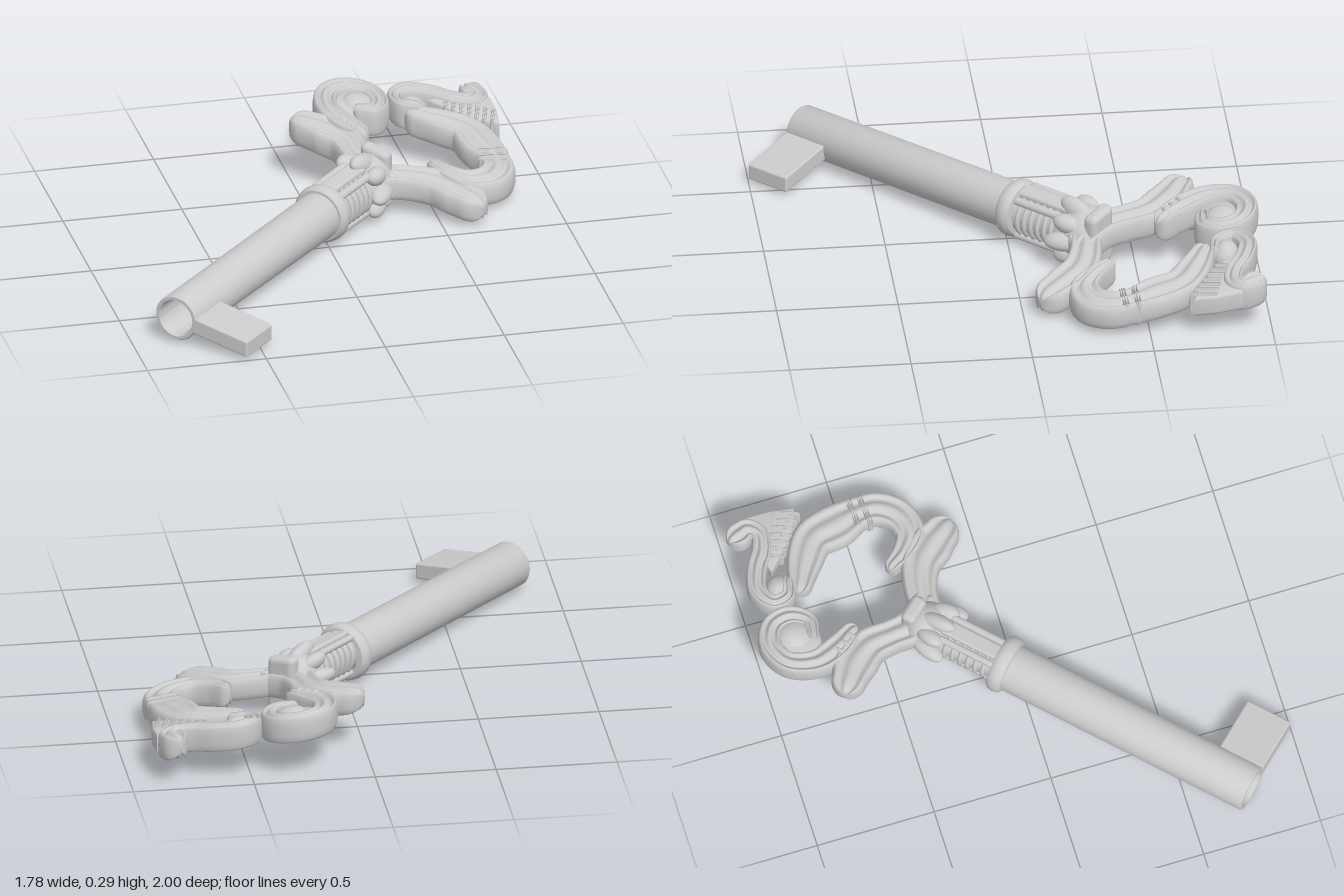
import * as THREE from 'three';
import { toCreasedNormals } from 'three/addons/utils/BufferGeometryUtils.js';
import { RoundedBoxGeometry } from 'three/addons/geometries/RoundedBoxGeometry.js';

const TILT = 0.022;               // rise along the key axis
const ROLL = -0.176;              // fall towards the bit side
const PIVOT = [-0.015, -0.05];    // collar position in plan (x, z)

// Leans a plan-space geometry along the key axis (tilt) and across it (roll).
function lean(geo, roll) {
  const a = (TILT + roll) * Math.SQRT1_2, b = (roll - TILT) * Math.SQRT1_2;
  const c = 0.135 - a * PIVOT[0] - b * PIVOT[1];
  return geo.applyMatrix4(new THREE.Matrix4().set(1, 0, 0, 0, a, 1, b, c, 0, 0, 1, 0, 0, 0, 0, 1));
}

// Key-axis space (x along the key, z towards the bit) to plan space.
const onAxis = (geo) => geo.rotateY(Math.PI / 4).translate(PIVOT[0], 0, PIVOT[1]);

// Half cross-section of the scrollwork: rounded rim, groove, raised middle.
const QUARTER = [[1, 0], [0.98, 0.45], [0.9, 0.78], [0.78, 0.92], [0.66, 0.88], [0.54, 0.7],
  [0.4, 0.66], [0.26, 0.8], [0.14, 0.92]];
const TOP = [...QUARTER, [0, 0.96], ...QUARTER.slice().reverse().map(([s, h]) => [-s, h])];
const SECTION = [...TOP, ...TOP.slice(1, -1).map(([s, h]) => [-s, -h])];

// Flat moulded band along [x, z, halfWidth] points given in hundredths, with round ends.
function band(points, height, steps = 64) {
  const curve = new THREE.CatmullRomCurve3(
    points.map(([x, z, w]) => new THREE.Vector3(x / 100, w / 100, z / 100)), false, 'centripetal');
  const stations = [], caps = 8;
  for (let i = caps; i > 0; i--) stations.push([0, -i / caps]);
  for (let i = 0; i <= steps; i++) stations.push([i / steps, 0]);
  for (let i = 1; i <= caps; i++) stations.push([1, i / caps]);
  const pos = [], index = [], n = SECTION.length;
  stations.forEach(([t, cap], i) => {
    const p = curve.getPoint(t), d = curve.getTangent(t).setY(0).normalize();
    const angle = cap * Math.PI / 2, w = p.y * Math.cos(angle), push = p.y * Math.sin(angle);
    const h = height * Math.sqrt(Math.max(0, Math.cos(angle)));
    SECTION.forEach(([s, k], j) => {
      pos.push(p.x + d.x * push + d.z * s * w, k * h, p.z + d.z * push - d.x * s * w);
      if (i === 0) return;
      const a = (i - 1) * n + j, b = (i - 1) * n + (j + 1) % n;
      index.push(a, b, a + n, b, b + n, a + n);
    });
  });
  const geo = new THREE.BufferGeometry();
  geo.setAttribute('position', new THREE.Float32BufferAttribute(pos, 3));
  geo.setIndex(index);
  geo.computeVertexNormals();
  return geo;
}

const ellipsoid = (rx, ry, rz) => new THREE.SphereGeometry(1, 28, 18).scale(rx, ry, rz);

export function createModel() {
  const key = new THREE.Group();
  key.name = 'key';
  const material = new THREE.MeshStandardMaterial({ color: 0xcccccc });
  const add = (name, geo, roll = ROLL) => {
    const mesh = new THREE.Mesh(lean(geo, roll), material);
    mesh.name = name;
    key.add(mesh);
  };
  const lathe = (profile) => toCreasedNormals(
    new THREE.LatheGeometry(profile.map(([r, u]) => new THREE.Vector2(r, u)), 56), 0.6).rotateZ(-Math.PI / 2);

  // Hollow barrel and collar
  add('barrel', onAxis(lathe([[0, -0.7], [0.075, -0.7], [0.075, -1.135], [0.08, -1.145],
    [0.093, -1.145], [0.097, -1.138], [0.1, 0.02]])), 0);
  add('collar', onAxis(lathe([[0.095, -0.035], [0.11, -0.034], [0.12, -0.022], [0.123, 0],
    [0.12, 0.018], [0.11, 0.03], [0.085, 0.034]])), 0);

  // Bit
  add('bit', onAxis(new RoundedBoxGeometry(0.2, 0.07, 0.262, 3, 0.008).translate(-1.045, 0, 0.211)));

  // Ribbed neck with panels above and below and four rails
  add('neckCore', onAxis(lathe([[0.082, 0], [0.082, 0.26], [0.1, 0.3], [0.08, 0.34]])));
  for (let i = 0; i < 6; i++) {
    add('neckRib', onAxis(new THREE.TorusGeometry(0.083, 0.011, 10, 48).rotateY(Math.PI / 2)
      .translate(0.06 + i * 0.035, 0, 0)));
  }
  for (const side of [1, -1]) {
    add('neckPanel', onAxis(new RoundedBoxGeometry(0.27, 0.036, 0.07, 3, 0.012)
      .translate(0.15, side * 0.085, 0)));
    for (const up of [1, -1]) {
      add('neckRail', onAxis(new THREE.CapsuleGeometry(0.016, 0.22, 5, 12).rotateZ(Math.PI / 2)
        .translate(0.15, up * 0.078, side * 0.056)));
    }
  }

  // Leafy knot joining neck and bow
  add('knot', onAxis(ellipsoid(0.11, 0.11, 0.105).translate(0.35, 0, 0)));
  for (let i = 0; i < 8; i++) {
    const long = i % 2 ? 0.065 : 0.085;
    add('knotLeaf', onAxis(ellipsoid(long, 0.042, 0.036).rotateZ(-0.3).translate(0.31, 0.092, 0)
      .rotateX(i * Math.PI / 4)));
  }
  add('knotClasp', onAxis(new RoundedBoxGeometry(0.065, 0.25, 0.13, 4, 0.025).translate(0.42, 0, 0)));

  // Bow: lobed arms either side of the knot
  add('leftLobe', band([[7, -69, 7.2], [14, -64, 9], [20, -56, 8], [22, -46, 7], [24, -37, 7.5], [31, -29, 7]], 0.057));
  add('rightLobe', band([[32, -29, 6.3], [41, -28, 7], [51, -24.5, 8.2], [58, -18, 9], [62, -13, 7.8]], 0.054));

  // Bow: large scroll with its web and boss
  add('largeScroll', band([[27, -62, 4.5], [22, -69, 5.8], [18, -80, 5.3], [21, -91, 4.8], [30, -95.5, 4.8],
    [38.5, -92, 4.5], [41, -84, 4.3], [37, -77, 3.5], [31, -77, 2.7]], 0.062, 96));
  add('scrollWeb', ellipsoid(0.115, 0.04, 0.11).translate(0.3, 0, -0.85));
  add('scrollBoss', ellipsoid(0.08, 0.062, 0.08).translate(0.325, 0, -0.845));
  for (let i = 0; i < 3; i++) {
    add('scrollBead', ellipsoid(0.038, 0.066, 0.014).rotateY(0.7)
      .translate(0.2 + i * 0.027, 0, -0.69 + i * 0.032));
  }

  // Bow: crest with small scroll and curled tip
  add('crest', band([[56, -80, 2.5], [50, -82, 3], [48.5, -88.5, 3.3], [55, -93, 4], [64, -91, 4.2],
    [73, -86, 4.2], [80, -85, 4], [83.5, -89, 4.6], [82, -93, 5.4]], 0.06, 96));
  add('crestBoss', ellipsoid(0.06, 0.056, 0.055).translate(0.55, 0, -0.84));

  // Bow: ribbed fan under the crest
  const fan = new THREE.Shape([[63, -85], [72, -77], [80, -71], [87, -69], [88, -78], [87.5, -87], [75, -88]]
    .map(([x, z]) => new THREE.Vector2(x / 100, -z / 100)));
  add('fan', toCreasedNormals(new THREE.ExtrudeGeometry(fan, {
    depth: 0.06, bevelSize: 0.01, bevelThickness: 0.012, bevelSegments: 3,
  }).rotateX(-Math.PI / 2).translate(0, -0.03, 0), 0.7));
  for (let i = 0; i < 7; i++) {
    const x = 68 + i * 2.9, z = -81 + i * 1.5, reach = 2 + i * 0.5;
    add('fanRib', band([[x + reach * 0.4, z - reach, 0.9], [x - reach * 0.2, z + reach, 0.9]], 0.053, 6));
  }

  // Bow: broad right arm curling into an inner tongue, with a double binding
  add('rightArm', band([[55, -75, 5.2], [64, -70.5, 7.4], [73, -64, 8.5], [76.5, -53, 9.3], [79.5, -42.5, 7],
    [79.5, -34.5, 7], [74, -27, 7], [65, -25, 6.3], [57.5, -30, 4.6], [53, -36, 3.2]], 0.055, 120));
  for (const z of [-45, -40]) {
    add('armBinding', band([[73.5, z + 0.5, 1.3], [85, z - 0.5, 1.3]], 0.058, 8));
  }
  return key;
}
